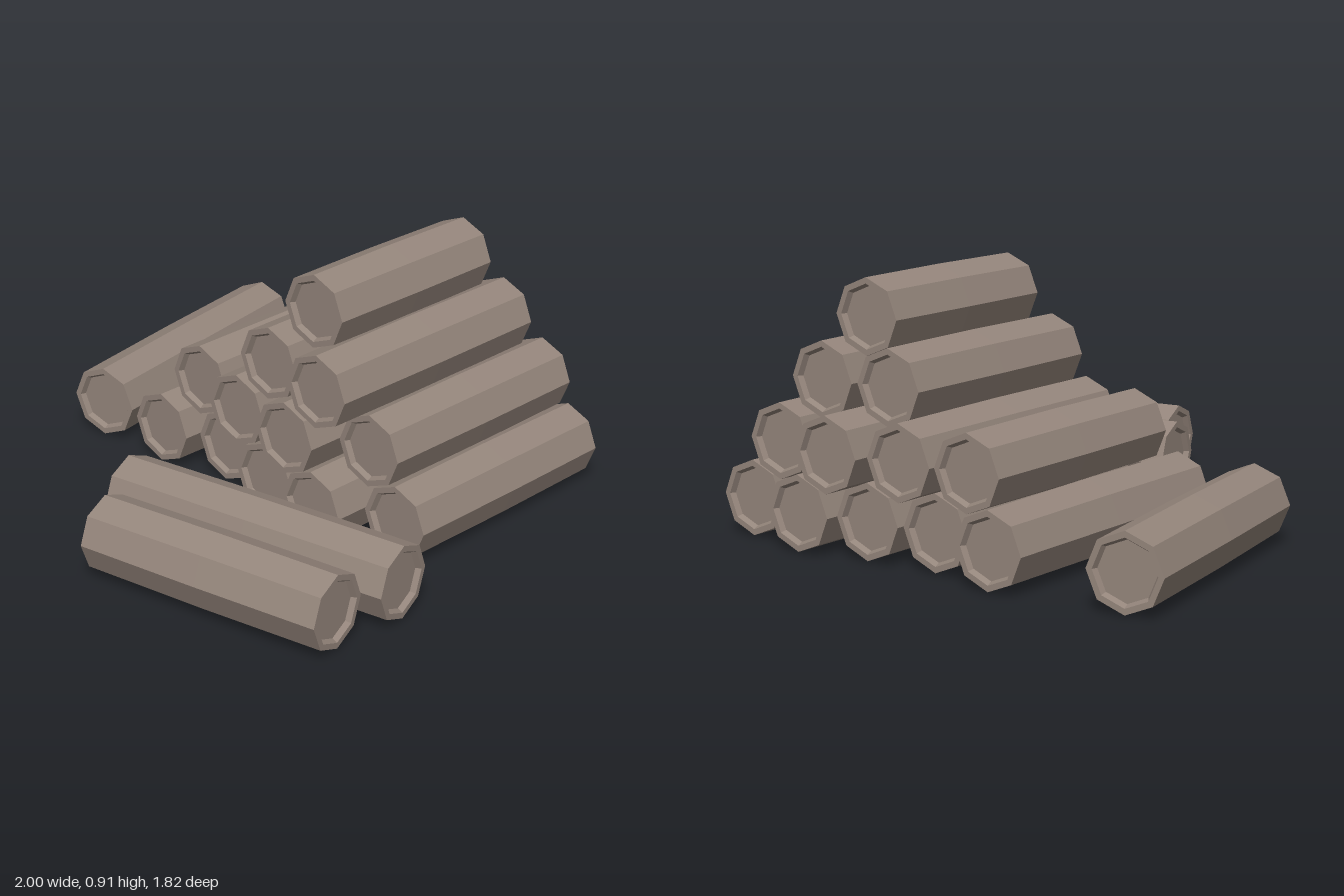
import * as THREE from 'three';

const R = 0.131;      // outer radius at the log ends
const RECESS = 0.018; // depth of the sunken core at each end

// Eight-sided log along z, slightly thicker in the middle, with a raised rim at both ends
function logGeometry(length) {
  const h = length / 2;
  const profile = [
    [0, -h + RECESS], [0.1, -h + RECESS], [0.11, -h], [R, -h],
    [R + 0.003, 0],
    [R, h], [0.11, h], [0.1, h - RECESS], [0, h - RECESS],
  ].map(([r, y]) => new THREE.Vector2(r, y));
  return new THREE.LatheGeometry(profile, 8).rotateX(Math.PI / 2);
}

export function createModel() {
  const model = new THREE.Group();
  model.name = 'logPile';
  const bark = new THREE.MeshStandardMaterial({ color: 0x94857b, flatShading: true });
  bark.name = 'weathered wood';

  // Log between two end points given as [x, z], at height y
  function addLog(name, parent, y, [x0, z0], [x1, z1]) {
    const log = new THREE.Mesh(logGeometry(Math.hypot(x1 - x0, z1 - z0)), bark);
    log.name = name;
    log.position.set((x0 + x1) / 2, y, (z0 + z1) / 2);
    log.rotation.y = Math.atan2(x1 - x0, z1 - z0);
    parent.add(log);
  }

  // Stacked rows: height, then [x, back z, front z] of each log
  const rows = [
    ['bottomRow', 0.14, [[-0.39, -0.91, 0.13], [-0.12, -0.84, 0.07], [0.15, -0.86, 0.15],
      [0.41, -0.91, 0.19], [0.68, -0.84, 0.07]]],
    ['secondRow', 0.353, [[-0.25, -0.84, 0.07], [0.015, -0.86, 0.15], [0.283, -0.91, 0.19],
      [0.55, -0.84, 0.06]]],
    ['thirdRow', 0.565, [[0.15, -0.75, 0.13], [0.42, -0.77, 0.18]]],
    ['topRow', 0.777, [[0.292, -0.69, 0.06]]],
  ];
  for (const [name, y, logs] of rows) {
    const row = new THREE.Group();
    row.name = name;
    logs.forEach(([x, back, front], i) => addLog(`${name}Log${i + 1}`, row, y, [x, back], [x, front]));
    model.add(row);
  }

  // Loose logs lying beside and in front of the stack
  addLog('looseSideLog', model, 0.14, [-0.875, -0.86], [-0.697, 0.133]);
  addLog('looseInnerLog', model, 0.14, [-0.11, 0.535], [0.97, 0.345]);
  addLog('looseOuterLog', model, 0.14, [0.05, 0.782], [0.95, 0.625]);

  return model;
}
